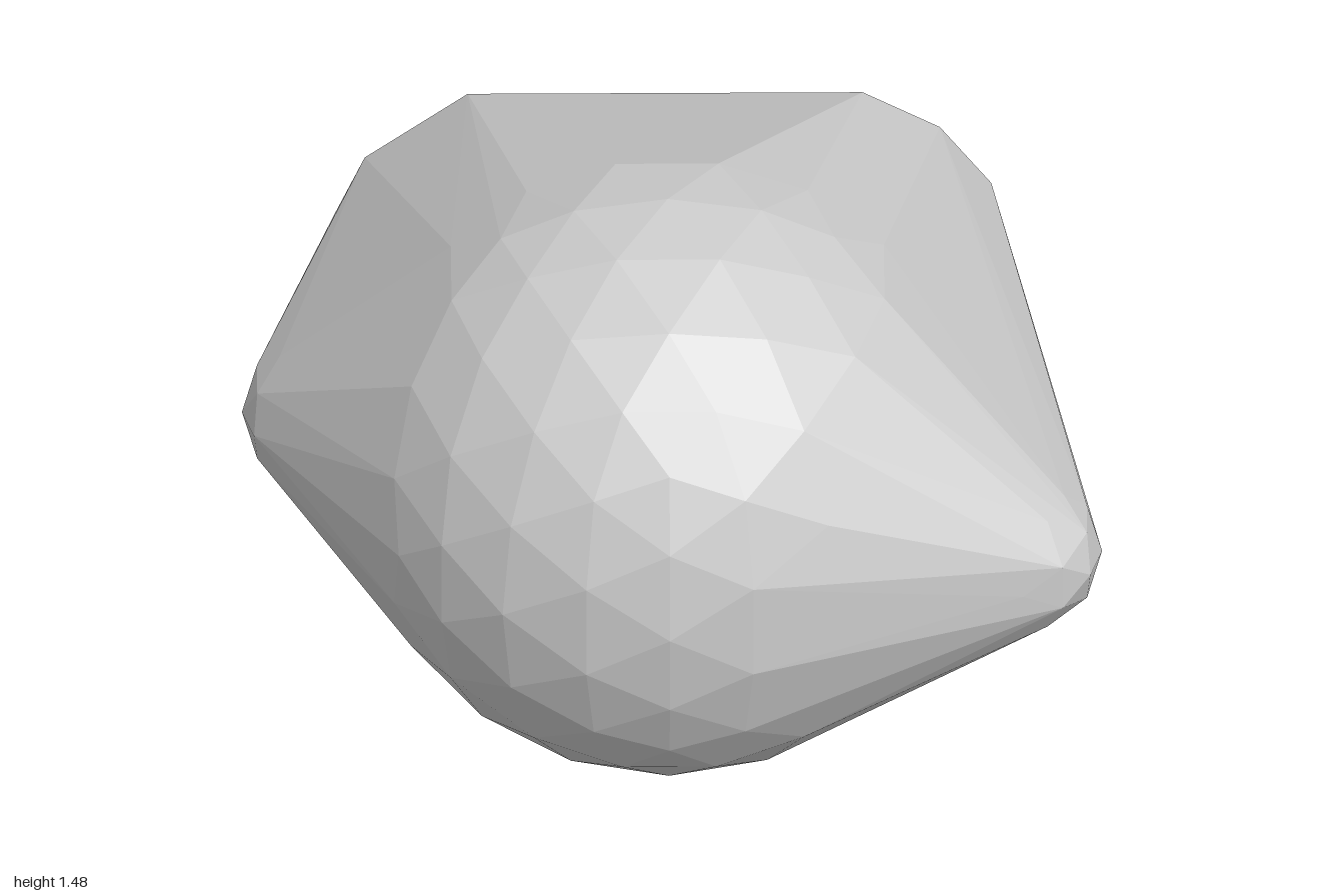
import * as THREE from 'three';
import { ConvexGeometry } from 'three/addons/geometries/ConvexGeometry.js';

// Points of a faceted ball, used as a support for the hull
function ballPoints(radius, detail, x, y, z) {
  const pos = new THREE.IcosahedronGeometry(radius, detail).attributes.position;
  const seen = new Map();
  for (let i = 0; i < pos.count; i++) {
    const p = new THREE.Vector3().fromBufferAttribute(pos, i);
    const key = p.toArray().map((v) => Math.round(v * 1e4)).join();
    if (!seen.has(key)) seen.set(key, p.add(new THREE.Vector3(x, y, z)));
  }
  return [...seen.values()];
}

// Outline of the flat back plate (x, y)
const PLATE = [
  [0.45, 1.21], [0.63, 1.11], [0.75, 0.95], [0.78, 0.81], [0.78, 0.64], [0.73, 0.4], [0.59, 0.25],
  [-0.61, 0.25], [-0.7, 0.31], [-0.77, 0.45], [-0.8, 0.65], [-0.78, 0.87], [-0.71, 1.03],
  [-0.59, 1.12], [-0.47, 1.21],
];

// Plate rim with a fine bevel
function platePoints() {
  const points = [];
  for (const [x, y] of PLATE) {
    points.push(new THREE.Vector3(x, y, -0.768));
    points.push(new THREE.Vector3(x * 0.986, 0.73 + (y - 0.73) * 0.982, -0.78));
  }
  return points;
}

export function createModel() {
  const group = new THREE.Group();
  group.name = 'hullBody';
  const material = new THREE.MeshStandardMaterial({ color: 0xcccccc, flatShading: true });

  // One skin stretched over the dome, the two side knobs and the back plate
  const points = [
    ...ballPoints(0.74, 3, -0.01, 0.74, 0.045),
    ...ballPoints(0.185, 1, 0.815, 0.68, 0.34),
    ...ballPoints(0.185, 1, -0.815, 0.685, -0.23),
    ...platePoints(),
  ];
  const shell = new THREE.Mesh(new ConvexGeometry(points), material);
  shell.name = 'convexShell';
  group.add(shell);
  return group;
}
